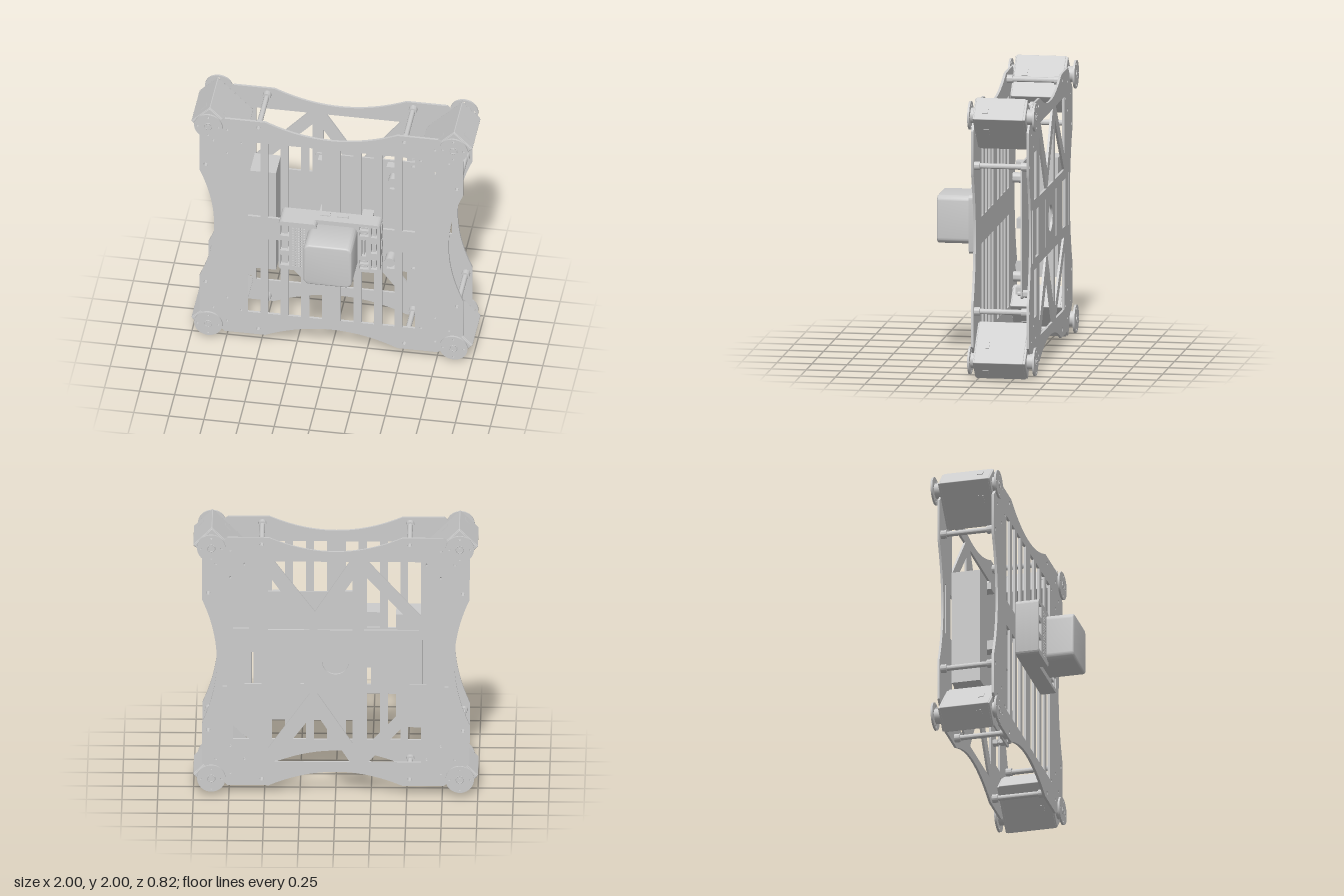
import * as THREE from 'three';
import { RoundedBoxGeometry } from 'three/addons/geometries/RoundedBoxGeometry.js';
import { toCreasedNormals } from 'three/addons/utils/BufferGeometryUtils.js';

const mat = new THREE.MeshStandardMaterial({ color: 0xcccccc });

function add(parent, name, geo, x = 0, y = 0, z = 0) {
  const m = new THREE.Mesh(geo, mat);
  m.name = name;
  m.position.set(x, y, z);
  parent.add(m);
  return m;
}
// Box given by its limits on each axis, optionally rounded
function box(parent, name, [x0, x1], [y0, y1], [z0, z1], r = 0) {
  const s = [x1 - x0, y1 - y0, z1 - z0];
  const geo = r ? new RoundedBoxGeometry(...s, 3, r) : new THREE.BoxGeometry(...s);
  return add(parent, name, geo, (x0 + x1) / 2, (y0 + y1) / 2, (z0 + z1) / 2);
}
// Cylinder along z between z0 and z1
function rod(parent, name, r, x, y, z0, z1, sides = 32) {
  const geo = new THREE.CylinderGeometry(r, r, z1 - z0, sides).rotateX(Math.PI / 2);
  return add(parent, name, toCreasedNormals(geo, 0.6), x, y, (z0 + z1) / 2);
}
// Shape with holes, extruded between z0 and z1
function slab(parent, name, shape, z0, z1, x = 0, y = 0) {
  const geo = new THREE.ExtrudeGeometry(shape, { depth: z1 - z0, bevelEnabled: false, curveSegments: 24 });
  return add(parent, name, toCreasedNormals(geo, 0.5), x, y, z0);
}
const poly = (pts) => new THREE.Path(pts.map(([x, y]) => new THREE.Vector2(x, y)));
const rect = (x0, x1, y0, y1) => poly([[x0, y0], [x0, y1], [x1, y1], [x1, y0]]);
const circle = (x, y, r) => new THREE.Path().absarc(x, y, r, 0, Math.PI * 2, true);
const disc = (r) => new THREE.Shape().absarc(0, 0, r, 0, Math.PI * 2, false);
function roundedRect(x0, x1, y0, y1, r) {
  const s = new THREE.Shape();
  s.absarc(x1 - r, y0 + r, r, -Math.PI / 2, 0, false);
  s.absarc(x1 - r, y1 - r, r, 0, Math.PI / 2, false);
  s.absarc(x0 + r, y1 - r, r, Math.PI / 2, Math.PI, false);
  s.absarc(x0 + r, y0 + r, r, Math.PI, Math.PI * 1.5, false);
  return s;
}
const corners = [[1, 1], [-1, 1], [-1, -1], [1, -1]];
const posts = corners.flatMap(([sx, sy]) => [[sx * 0.52, 1 + sy * 0.89], [sx * 0.895, 1 + sy * 0.52]]);

// Plate with waisted edges and cut-off corners, drawn counter-clockwise
function plate(parent, name, z0, z1, holes) {
  const s = new THREE.Shape();
  s.moveTo(-0.76, 0.06);
  s.lineTo(-0.47, 0.06);
  s.quadraticCurveTo(0, 0.27, 0.47, 0.06);
  s.lineTo(0.76, 0.06);
  s.lineTo(0.94, 0.23);
  s.lineTo(0.94, 0.53);
  s.quadraticCurveTo(0.73, 1, 0.94, 1.47);
  s.lineTo(0.94, 1.77);
  s.lineTo(0.76, 1.94);
  s.lineTo(0.47, 1.94);
  s.quadraticCurveTo(0, 1.73, -0.47, 1.94);
  s.lineTo(-0.76, 1.94);
  s.lineTo(-0.94, 1.77);
  s.lineTo(-0.94, 1.47);
  s.quadraticCurveTo(-0.73, 1, -0.94, 0.53);
  s.lineTo(-0.94, 0.23);
  s.holes.push(...holes, ...posts.map(([x, y]) => circle(x, y, 0.014)));
  for (const [sx, sy] of corners)
    for (const [x, y] of [[0.84, 0.74], [0.74, 0.845], [0.74, 0.64], [0.64, 0.74]])
      s.holes.push(circle(sx * x, 1 + sy * y, 0.01));
  slab(parent, name, s, z0, z1);
}

// Actuator lying on the diagonal, with an output horn on each face
function motor(parent, sx, sy) {
  const g = new THREE.Group();
  g.name = 'cornerMotor';
  g.position.set(sx * 0.81, 1 + sy * 0.81, 0);
  g.rotation.z = Math.atan2(-sx, sy);
  parent.add(g);
  box(g, 'motorBody', [-0.094, 0.094], [-0.179, 0.179], [-0.335, 0.015], 0.005);
  box(g, 'motorFrontCap', [-0.09, 0.09], [-0.172, 0.176], [0.005, 0.024], 0.005);
  box(g, 'motorBackCap', [-0.09, 0.09], [-0.172, 0.176], [-0.35, -0.32], 0.005);
  for (const s of [-1, 1]) box(g, 'cablePort', [s * 0.094 - 0.004, s * 0.094 + 0.004], [0, 0.055], [-0.08, -0.04]);
  box(g, 'endPort', [-0.005, 0.045], [0.175, 0.183], [-0.08, -0.04]);
  const hy = 0.09;
  rod(g, 'frontBoss', 0.055, 0, hy, 0.02, 0.052);
  rod(g, 'backBoss', 0.055, 0, hy, -0.396, -0.345);
  for (const [z0, z1, face] of [[0.052, 0.066, 0.066], [-0.41, -0.396, -0.41]]) {
    const horn = disc(0.1);
    for (let i = 0; i < 4; i++) {
      const a = i * Math.PI / 2 + Math.PI / 4;
      horn.holes.push(circle(0.075 * Math.cos(a), 0.075 * Math.sin(a), 0.009));
    }
    slab(g, 'outputHorn', horn, z0, z1, 0, hy);
    add(g, 'hornRing', new THREE.TorusGeometry(0.026, 0.003, 8, 24), 0, hy, face);
    rod(g, 'hornScrew', 0.013, 0, hy, face - 0.004, face + 0.004, 16);
  }
}

// Computer: stepped housing with recessed sockets and a big cooler block
function computer(parent) {
  const g = new THREE.Group();
  g.name = 'computer';
  parent.add(g);
  slab(g, 'housingFloor', roundedRect(-0.35, 0.365, 0.79, 1.21, 0.03), 0.044, 0.11);

  const base = roundedRect(-0.35, 0.365, 0.79, 1.21, 0.03);
  const socket = (x0, x1, y0, y1) => {
    base.holes.push(rect(x0, x1, y0, y1));
    box(g, 'socketTongue', [x0 + 0.01, x1 - 0.01], [y0 + 0.01, y1 - 0.01], [0.105, 0.145]);
  };
  for (const y of [0.815, 0.86, 1.105, 1.155]) socket(0.22, 0.285, y, y + 0.032);
  for (const y of [0.82, 0.96, 1.1]) {
    socket(0.3, 0.345, y, y + 0.085);
    box(g, 'edgeSocket', [0.36, 0.371], [y + 0.01, y + 0.08], [0.065, 0.105]);
  }
  socket(0.235, 0.265, 0.93, 1.075);
  slab(g, 'housingBase', base, 0.11, 0.155);

  const raised = roundedRect(-0.35, -0.08, 0.79, 1.21, 0.03);
  for (const y of [0.825, 0.955, 1.085]) {
    raised.holes.push(rect(-0.335, -0.275, y, y + 0.09));
    box(g, 'sideSocketInsert', [-0.325, -0.285], [y + 0.01, y + 0.08], [0.15, 0.195]);
  }
  for (let i = 0; i < 5; i++)
    for (let j = 0; j < 16; j++) {
      const x = -0.25 + i * 0.02, y = 0.825 + j * 0.022;
      raised.holes.push(rect(x, x + 0.01, y, y + 0.01));
    }
  slab(g, 'housingRaisedSide', raised, 0.155, 0.212);

  const cooler = new THREE.ExtrudeGeometry(roundedRect(-0.125, 0.19, 0.845, 1.16, 0.03), {
    depth: 0.25, bevelThickness: 0.015, bevelSize: 0.015, bevelSegments: 4, curveSegments: 8,
  });
  add(g, 'coolerBlock', toCreasedNormals(cooler, 0.6), 0, 0, 0.145);
  for (const [x0, x1] of [[-0.07, 0], [0.05, 0.13]]) box(g, 'topSocket', [x0, x1], [1.2, 1.216], [0.065, 0.1]);
}

// Control board with connectors, standing off the rear plate
function controlBoard(parent) {
  const g = new THREE.Group();
  g.name = 'controlBoard';
  parent.add(g);
  slab(g, 'boardPanel', roundedRect(-0.165, 0.58, 0.515, 1.49, 0.025), -0.262, -0.25);
  for (const s of [-1, 1]) {
    const y = 1 + s * 0.45;
    rod(g, 'boardSpacer', 0.016, 0.54, y, -0.352, -0.225, 16);
    rod(g, 'boardNut', 0.028, 0.54, y, -0.352, -0.315, 6);
    rod(g, 'boardNut', 0.028, 0.54, y, -0.3, -0.262, 6);
    for (const x of [-0.09, 0.4]) box(g, 'terminal', [x - 0.045, x + 0.045], [y - 0.025, y + 0.025], [-0.25, -0.19]);
    rod(g, 'capacitor', 0.037, s > 0 ? 0.405 : 0.38, 1 + s * 0.355, -0.25, -0.168, 24);
    box(g, 'chip', [0.37, 0.43], [1 + s * 0.235 - 0.015, 1 + s * 0.235 + 0.015], [-0.25, -0.23]);
  }
  rod(g, 'capacitor', 0.037, -0.06, 0.65, -0.25, -0.168, 24);
  box(g, 'edgeConnector', [0.5, 0.53], [0.71, 0.78], [-0.25, -0.21]);
  box(g, 'centreConnector', [0.18, 0.26], [0.965, 1.035], [-0.25, -0.17]);
  box(g, 'centreConnector', [-0.12, -0.03], [0.965, 1.035], [-0.25, -0.17]);
}

export function createModel() {
  const root = new THREE.Group();
  root.name = 'squareRobotChassis';

  // Front plate: two rows of vertical slots
  const slots = [];
  for (const s of [-1, 1])
    for (const c of [0.112, 0.26, 0.407, 0.55])
      slots.push(rect(s * c - 0.045, s * c + 0.045, 0.25, 0.91), rect(s * c - 0.045, s * c + 0.045, 1.1, 1.755));
  plate(root, 'frontPlate', 0.026, 0.044, slots);

  // Rear plate: zigzag truss above and below a solid band
  const windows = [circle(0, 1, 0.095)];
  const truss = [
    [[0.475, 0.66], [0.475, 0.24], [0.18, 0.24]],
    [[0.43, 0.76], [-0.1, 0.76], [0.145, 0.38]],
    [[0.13, 0.24], [-0.12, 0.24], [-0.12, 0.62]],
    [[-0.2, 0.66], [-0.2, 0.24], [-0.59, 0.24]],
    [[-0.23, 0.76], [-0.6, 0.76], [-0.6, 0.35]],
  ];
  for (const s of [-1, 1]) {
    for (const t of truss) windows.push(poly(t.map(([x, y]) => [x, 1 + s * y])));
    windows.push(rect(0.61, 0.72, 1 + s * 0.42 - 0.17, 1 + s * 0.42 + 0.17));
    windows.push(rect(s * 0.58 - 0.06, s * 0.58 + 0.06, 0.83, 1.17));
    windows.push(rect(s * 0.235 - 0.013, s * 0.235 + 0.013, 0.83, 1.17));
    windows.push(rect(s * 0.78 - 0.015, s * 0.78 + 0.015, 0.81, 1.19));
  }
  plate(root, 'rearPlate', -0.368, -0.352, windows);

  // Hollow spacer posts with thicker collars at both ends
  for (const [x, y] of posts)
    for (const [name, r, z0, z1] of [['spacerPost', 0.019, -0.31, -0.015], ['postCollar', 0.03, -0.352, -0.31], ['postCollar', 0.03, -0.015, 0.026]]) {
      const ring = disc(r);
      ring.holes.push(circle(0, 0, 0.013));
      slab(root, name, ring, z0, z1, x, y);
    }

  for (const [sx, sy] of corners) motor(root, sx, sy);
  box(root, 'battery', [-0.61, -0.425], [0.5, 1.355], [-0.352, -0.145]);
  controlBoard(root);
  computer(root);
  return root;
}
